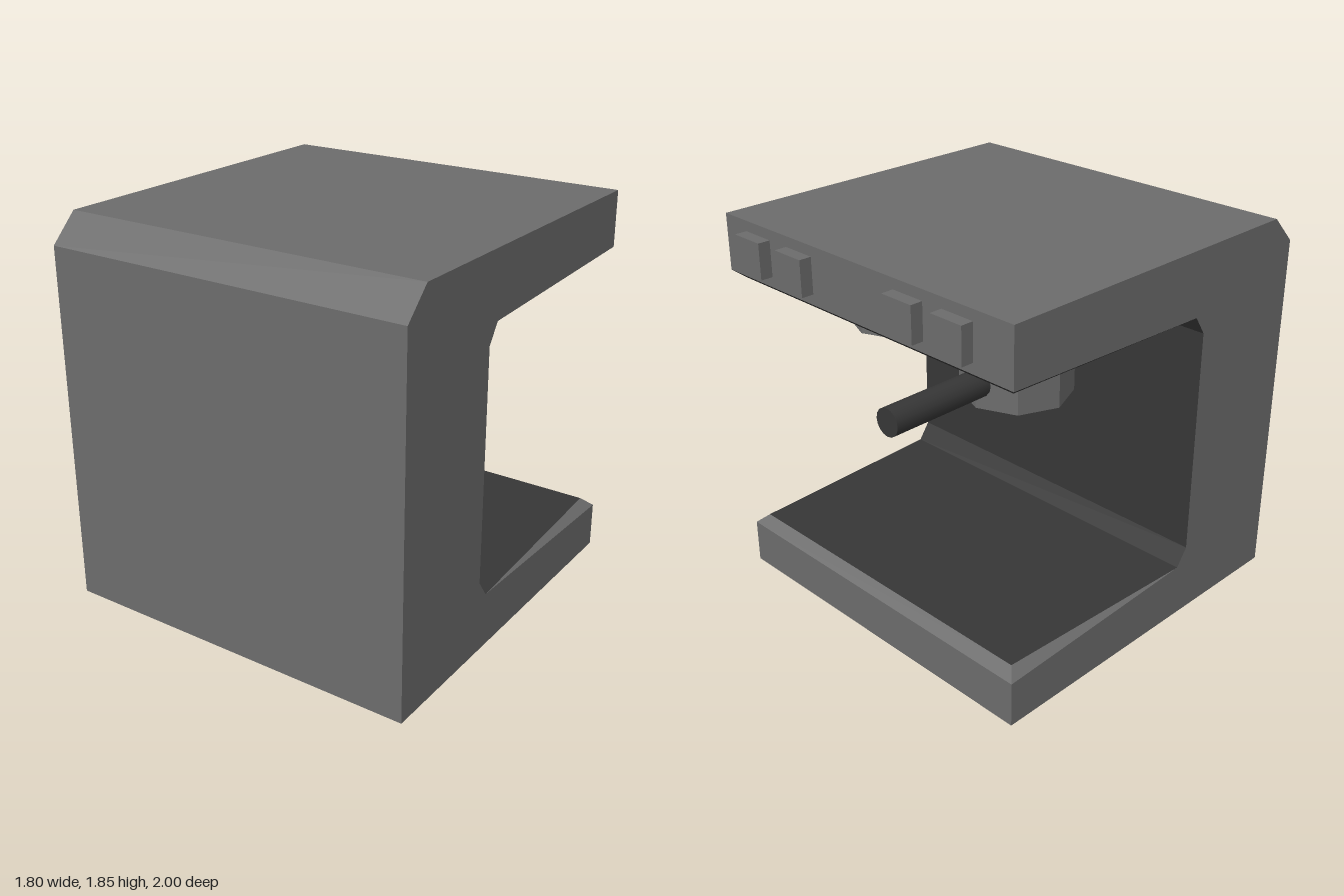
import * as THREE from 'three';

const HALF = 0.9; // half width of the housing

export function createModel() {
  const model = new THREE.Group();
  const grey = new THREE.MeshStandardMaterial({ color: 0x6c6c6c });
  grey.name = 'housing grey';
  const dark = new THREE.MeshStandardMaterial({ color: 0x363636 });
  dark.name = 'dark grey';

  function add(name, geometry, material, x = 0, y = 0, z = 0) {
    const mesh = new THREE.Mesh(geometry, material);
    mesh.name = name;
    mesh.position.set(x, y, z);
    model.add(mesh);
    return mesh;
  }

  // Convex flat faces, each a counter-clockwise loop of points
  function faces(loops) {
    const pos = [];
    for (const p of loops)
      for (let i = 1; i < p.length - 1; i++) pos.push(...p[0], ...p[i], ...p[i + 1]);
    const g = new THREE.BufferGeometry();
    g.setAttribute('position', new THREE.Float32BufferAttribute(pos, 3));
    g.computeVertexNormals();
    return g;
  }

  function faceted(geometry) {
    const g = geometry.toNonIndexed();
    g.computeVertexNormals();
    return g;
  }

  // C-shaped side outline as (z, y)
  const outline = [
    [1, 0], [1, 1.72], [0.87, 1.85], [-0.8, 1.85], [-0.8, 1.58], [0.32, 1.54],
    [0.38, 1.45], [0.38, 0.35], [0.32, 0.265], [-0.8, 0.22], [-0.8, 0],
  ];
  for (const side of [1, -1]) {
    const shape = new THREE.Shape(outline.map(([z, y]) => new THREE.Vector2(-side * z, y)));
    const g = new THREE.ShapeGeometry(shape);
    g.rotateY(side * Math.PI / 2);
    add(side > 0 ? 'leftSidePanel' : 'rightSidePanel', g, grey, side * HALF);
  }

  // Strips across the width, following the outline
  const strip = (i) => {
    const [za, ya] = outline[i];
    const [zb, yb] = outline[(i + 1) % outline.length];
    return [[-HALF, ya, za], [HALF, ya, za], [HALF, yb, zb], [-HALF, yb, zb]];
  };
  add('outerShell', faces([0, 1, 2, 3, 9, 10].map(strip)), grey);
  add('innerWall', faces([5, 6, 7].map(strip)), dark);

  // Bevelled surface of the base, and its upside-down counterpart under the top
  const bevelled = (y, lip, up) => {
    const level = [[-HALF, y, 0.32], [HALF, y, 0.32], [0.85, y, -0.75], [-0.85, y, -0.75]];
    const bevel = [
      [[-0.85, y, -0.75], [0.85, y, -0.75], [HALF, lip, -0.8], [-HALF, lip, -0.8]],
      [[HALF, y, 0.32], [HALF, lip, -0.8], [0.85, y, -0.75]],
      [[-HALF, y, 0.32], [-0.85, y, -0.75], [-HALF, lip, -0.8]],
    ];
    const turn = (loop) => (up ? loop : loop.slice().reverse());
    return [faces([turn(level)]), faces(bevel.map(turn))];
  };
  const [floor, floorBevel] = bevelled(0.265, 0.22, true);
  add('trayFloor', floor, dark);
  add('trayBevel', floorBevel, grey);
  const [ceiling, ceilingBevel] = bevelled(1.54, 1.58, false);
  add('ceiling', ceiling, dark);
  add('ceilingBevel', ceilingBevel, dark);

  // Control buttons on the edge of the top
  for (const x of [-0.6, -0.32, 0.375, 0.665])
    add('button', new THREE.BoxGeometry(0.172, 0.17, 0.06), grey, x, 1.715, -0.83);

  // Octagonal parts hanging from the ceiling
  const octagon = (name, r, bottom, top, x) =>
    add(name, faceted(new THREE.CylinderGeometry(r, r, top - bottom, 8)), grey, x, (top + bottom) / 2, -0.267);
  octagon('outletCollar', 0.315, 1.425, 1.545, 0.33);
  octagon('outletHead', 0.25, 1.35, 1.43, 0.33);

  // Filter holder with mounting plate and handle
  add('holderPlate', new THREE.BoxGeometry(0.57, 0.065, 0.57), grey, -0.405, 1.51, -0.267);
  octagon('filterHolder', 0.248, 1.235, 1.5, -0.405);
  const handle = new THREE.CylinderGeometry(0.063, 0.063, 0.55, 16);
  handle.rotateX(Math.PI / 2);
  add('handle', handle, dark, -0.405, 1.345, -0.725);

  return model;
}
